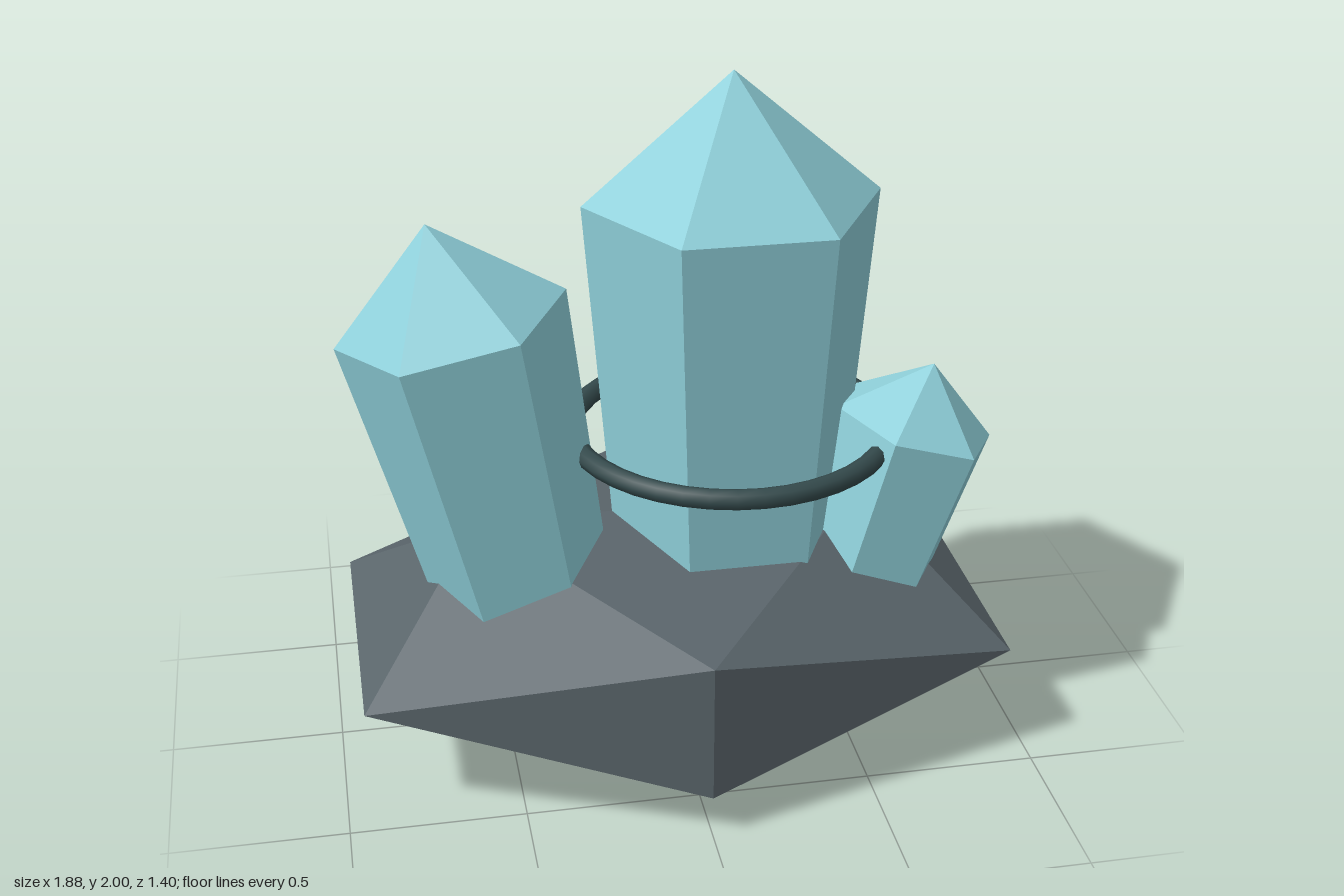
import * as THREE from 'three';

const crystalMaterial = new THREE.MeshStandardMaterial({ color: 0x8fd0da, flatShading: true });
const rockMaterial = new THREE.MeshStandardMaterial({ color: 0x5a656b, flatShading: true });
const ringMaterial = new THREE.MeshStandardMaterial({ color: 0x344a4c });

// Six-sided tapered shaft with a pointed cap; the origin is the centre of the shoulder
function crystal(name, { radius, length, tip, position, tilt = 0 }) {
  const baseRadius = radius - 0.08 * length;
  const profile = [
    new THREE.Vector2(0, -length),
    new THREE.Vector2(baseRadius, -length),
    new THREE.Vector2(radius, 0),
    new THREE.Vector2(0, tip),
  ];
  const mesh = new THREE.Mesh(new THREE.LatheGeometry(profile, 6, Math.PI / 6), crystalMaterial);
  mesh.name = name;
  mesh.position.set(...position);
  mesh.rotation.z = tilt;
  return mesh;
}

export function createModel() {
  const model = new THREE.Group();
  model.name = 'crystalCluster';

  // Faceted rock base
  const rock = new THREE.Mesh(new THREE.IcosahedronGeometry(1, 0).scale(1.1, 0.4, 0.82), rockMaterial);
  rock.name = 'rockBase';
  rock.position.y = 0.34;
  model.add(rock);

  // One upright crystal and two leaning outwards
  model.add(
    crystal('mainCrystal', { radius: 0.425, length: 1.25, tip: 0.365, position: [0.18, 1.635, 0] }),
    crystal('rightCrystal', { radius: 0.327, length: 1.05, tip: 0.285, position: [-0.62, 1.365, 0.08], tilt: 0.2 }),
    crystal('leftCrystal', { radius: 0.243, length: 0.7, tip: 0.185, position: [0.705, 0.953, 0.112], tilt: -0.28 }),
  );

  // Ring floating around the main crystal
  const ring = new THREE.Mesh(new THREE.TorusGeometry(0.46, 0.03, 8, 40).rotateX(Math.PI / 2), ringMaterial);
  ring.name = 'ring';
  ring.position.set(0.18, 0.932, 0);
  model.add(ring);

  return model;
}
